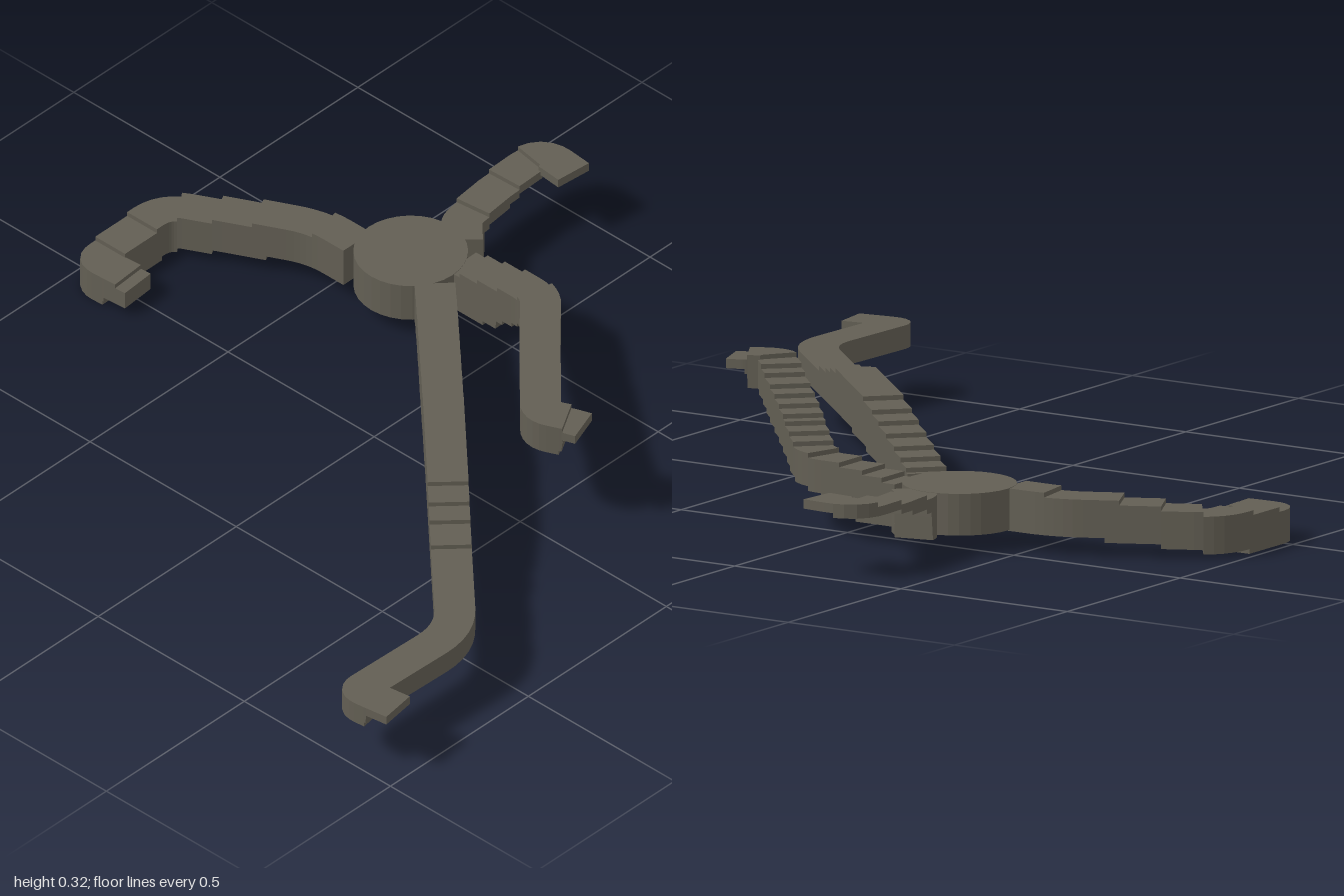
import * as THREE from 'three';

const HALF_WIDTH = 0.051;
const STEP = 0.012; // height of one terrace
const material = new THREE.MeshStandardMaterial({ color: 0x625e53, flatShading: true });
const V = (a) => new THREE.Vector4(...a);
const mix = (a, b, t) => new THREE.Vector4().lerpVectors(a, b, t);
const level = (h) => Math.round(h / STEP) * STEP;

// Samples a polyline of (x, z, top, bottom) with its corners rounded off.
function samplePath(rows, radius) {
  const p = rows.map(V);
  const flat = (a, b) => Math.hypot(a.x - b.x, a.y - b.y);
  const out = [p[0]];
  const lineTo = (b) => {
    const a = out[out.length - 1];
    const n = Math.max(1, Math.ceil(flat(a, b) / 0.02));
    for (let i = 1; i <= n; i++) out.push(mix(a, b, i / n));
  };
  for (let i = 1; i < p.length - 1; i++) {
    const [a, b, c] = [p[i - 1], p[i], p[i + 1]];
    const la = flat(a, b), lc = flat(b, c);
    const d = Math.min(radius, la * 0.48, lc * 0.48);
    const s = mix(b, a, d / la), e = mix(b, c, d / lc);
    lineTo(s);
    for (let k = 1; k <= 6; k++) out.push(mix(mix(s, b, k / 6), mix(b, e, k / 6), k / 6));
  }
  lineTo(p[p.length - 1]);
  return out;
}

// Lofts a terraced arm: each short stretch is level, with risers between stretches.
function arm(name, rows, radius = 0.085) {
  const path = samplePath(rows, radius);
  const rings = [];
  const ring = (i, top, bottom) => {
    const a = path[Math.max(0, i - 1)], b = path[Math.min(path.length - 1, i + 1)], q = path[i];
    const len = Math.hypot(b.x - a.x, b.y - a.y);
    const nx = -(b.y - a.y) / len * HALF_WIDTH, nz = (b.x - a.x) / len * HALF_WIDTH;
    rings.push([
      [q.x + nx, top, q.y + nz], [q.x - nx, top, q.y - nz],
      [q.x - nx, bottom, q.y - nz], [q.x + nx, bottom, q.y + nz],
    ]);
  };
  for (let i = 0; i < path.length - 1; i++) {
    const m = mix(path[i], path[i + 1], 0.5);
    const top = level(m.z), bottom = level(m.w);
    ring(i, top, bottom);
    ring(i + 1, top, bottom);
  }
  const pos = [];
  const quad = (a, b, c, d) => pos.push(...a, ...b, ...c, ...a, ...c, ...d);
  for (let i = 0; i < rings.length - 1; i++) {
    const r = rings[i], s = rings[i + 1];
    for (let k = 0; k < 4; k++) quad(r[k], s[k], s[(k + 1) % 4], r[(k + 1) % 4]);
  }
  const first = rings[0], last = rings[rings.length - 1];
  quad(...first);
  quad(...[...last].reverse());
  const geometry = new THREE.BufferGeometry();
  geometry.setAttribute('position', new THREE.Float32BufferAttribute(pos, 3));
  geometry.computeVertexNormals();
  const mesh = new THREE.Mesh(geometry, material);
  mesh.name = name;
  return mesh;
}

export function createModel() {
  const model = new THREE.Group();
  model.name = 'terracedPaths';

  // Round hub where the arms meet
  const hub = new THREE.Mesh(new THREE.CylinderGeometry(0.143, 0.143, 0.106, 32), material);
  hub.name = 'hub';
  hub.position.set(-0.312, 0.104, -0.463);
  model.add(hub);

  // Short rear arm, with a deep block at its foot
  model.add(arm('rearArm', [
    [-0.25, -0.585, 0.155, 0.05], [-0.305, -0.64, 0.155, 0.05], [-0.311, -0.665, 0.16, 0.05],
    [-0.312, -0.67, 0.16, 0.125], [-0.323, -0.77, 0.17, 0.13], [-0.324, -0.775, 0.17, 0.148],
    [-0.33, -0.953, 0.19, 0.158], [-0.207, -0.942, 0.19, 0.168],
  ]));

  // Descending arm on the right
  model.add(arm('rightArm', [
    [-0.435, -0.4, 0.155, 0.05], [-0.57, -0.4, 0.15, 0.05], [-0.78, -0.295, 0.132, 0.034],
    [-0.925, -0.22, 0.108, 0.012], [-0.925, -0.1, 0.1, 0], [-0.925, 0.028, 0.084, 0],
    [-0.86, 0.025, 0.08, 0], [-0.855, 0.025, 0.08, 0.024], [-0.79, 0.02, 0.075, 0.024],
  ]));

  // Climbing arm on the left
  model.add(arm('leftArm', [
    [-0.19, -0.52, 0.155, 0.05], [-0.03, -0.52, 0.185, 0.055], [-0.025, -0.52, 0.185, 0.085],
    [0.08, -0.52, 0.2, 0.12], [0.25, -0.335, 0.25, 0.165], [0.4, -0.18, 0.29, 0.212],
    [0.515, -0.058, 0.322, 0.242], [0.575, -0.085, 0.32, 0.245],
    [0.58, -0.088, 0.316, 0.288], [0.62, -0.102, 0.314, 0.288],
  ], 0.1));

  // Long front arm, humped in the middle
  model.add(arm('longFrontArm', [
    [-0.18, -0.41, 0.16, 0.06], [-0.06, -0.293, 0.185, 0.085], [0.1, -0.135, 0.215, 0.103],
    [0.28, 0.042, 0.245, 0.124], [0.43, 0.19, 0.245, 0.132], [0.62, 0.377, 0.195, 0.132],
    [0.852, 0.605, 0.192, 0.132], [0.842, 0.948, 0.192, 0.132], [0.895, 0.942, 0.192, 0.132],
    [0.9, 0.941, 0.192, 0.17], [0.962, 0.932, 0.192, 0.17],
  ]));
  return model;
}
